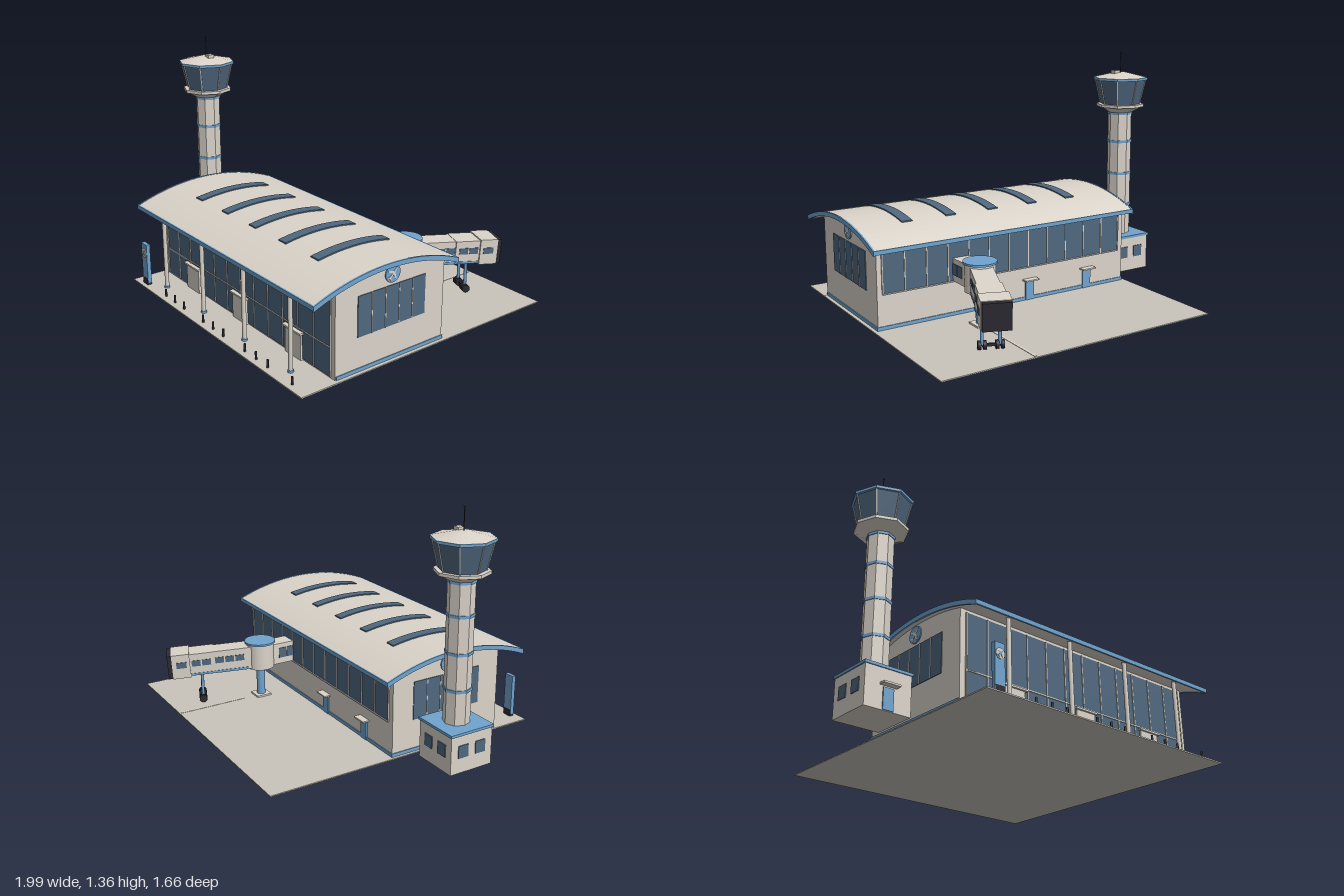
import * as THREE from 'three';
import { toCreasedNormals } from 'three/addons/utils/BufferGeometryUtils.js';

const mat = (name, color, flat = false) => new THREE.MeshStandardMaterial({ name, color, flatShading: flat });

export function createModel() {
  const wall = mat('warm white', 0xdbd4ca);
  const blue = mat('sky blue', 0x70a4cf);
  const glass = mat('blue glass', 0x50687f);
  const dark = mat('charcoal', 0x2b2a31);
  const paving = mat('paving', 0xc9c5bc);
  const model = new THREE.Group();

  const add = (parent, name, geo, m, x = 0, y = 0, z = 0) => {
    const mesh = new THREE.Mesh(geo, m);
    mesh.name = name;
    mesh.position.set(x, y, z);
    parent.add(mesh);
    return mesh;
  };
  const group = (name, x = 0, y = 0, z = 0, parent = model) => {
    const g = new THREE.Group();
    g.name = name;
    g.position.set(x, y, z);
    parent.add(g);
    return g;
  };
  // box given by its limits on each axis
  const box = (parent, name, m, x0, x1, y0, y1, z0, z1) =>
    add(parent, name, new THREE.BoxGeometry(x1 - x0, y1 - y0, z1 - z0), m, (x0 + x1) / 2, (y0 + y1) / 2, (z0 + z1) / 2);
  const cyl = (parent, name, m, rTop, rBottom, y0, y1, x = 0, z = 0, sides = 24) => {
    let geo = new THREE.CylinderGeometry(rTop, rBottom, y1 - y0, sides);
    if (sides === 8) geo = toCreasedNormals(geo, 0.3);
    return add(parent, name, geo, m, x, (y0 + y1) / 2, z);
  };
  // section drawn in (-z, y), extruded along x
  const alongX = (parent, name, m, shape, x0, x1) => {
    const geo = new THREE.ExtrudeGeometry(shape, { depth: x1 - x0, bevelEnabled: false, curveSegments: 28 });
    geo.rotateY(Math.PI / 2);
    return add(parent, name, toCreasedNormals(geo, 0.5), m, x0);
  };

  // roof arc: radius and centre shared by every curved part
  const R = 1.208, CY = -0.668, CZ = 0.3125;
  const angle = (z, r) => Math.acos((CZ - z) / r);
  const band = (name, m, z0, z1, r0, r1, x0, x1, parent) => {
    const s = new THREE.Shape();
    s.absarc(-CZ, CY, r1, angle(z0, r1), angle(z1, r1), false);
    s.absarc(-CZ, CY, r0, angle(z1, r0), angle(z0, r0), true);
    return alongX(parent, name, m, s, x0, x1);
  };

  // round sign with a simple aircraft pictogram, facing +z
  const aircraftSign = (parent, r, discMat, planeMat, x, y, z, yaw) => {
    const g = group('aircraftSign', x, y, z, parent);
    g.rotation.y = yaw;
    const disc = new THREE.CylinderGeometry(r, r, 0.006, 32).rotateX(Math.PI / 2);
    add(g, 'signDisc', disc, discMat);
    const half = [[0, 0.85], [0.1, 0.65], [0.1, 0.25], [0.75, -0.15], [0.75, -0.3], [0.1, -0.1],
      [0.08, -0.5], [0.3, -0.68], [0.3, -0.8], [0, -0.7]];
    const pts = [...half, ...half.slice(1, -1).reverse().map(([a, b]) => [-a, b])];
    const shape = new THREE.Shape(pts.map(([a, b]) => new THREE.Vector2(a * r, b * r)));
    add(g, 'signPlane', new THREE.ExtrudeGeometry(shape, { depth: 0.002, bevelEnabled: false }), planeMat, 0, 0, 0.003)
      .rotation.z = -Math.PI / 4;
  };

  // ground
  box(model, 'apron', paving, -0.665, 0.98, 0, 0.006, -0.82, 0.6);
  box(model, 'plaza', paving, -0.665, 0.98, 0, 0.007, 0.6, 0.83);
  box(model, 'apronGuideLine', wall, 0.452, 0.466, 0.006, 0.008, -0.81, -0.4);

  // terminal hall
  const hall = group('terminal');
  const X0 = -0.645, X1 = 0.955, ZB = -0.085, ZF = 0.615;
  const section = new THREE.Shape();
  section.moveTo(-ZF, 0.003);
  section.lineTo(-ZB, 0.003);
  section.absarc(-CZ, CY, R - 0.015, angle(ZB, R - 0.015), angle(ZF, R - 0.015), false);
  alongX(hall, 'hallBody', wall, section, X0, X1);
  box(hall, 'basePlinth', blue, X0 - 0.005, X1 + 0.005, 0.003, 0.025, ZB - 0.005, ZF - 0.005);

  // curved roof with blue trim
  band('roof', wall, -0.14, 0.765, R - 0.02, R, -0.672, 0.987, hall);
  for (const x of [-0.68, 0.985]) band('gableTrim', blue, -0.145, 0.77, R - 0.023, R + 0.002, x, x + 0.01, hall);
  for (const z of [-0.147, 0.762]) box(hall, 'eaveTrim', blue, -0.68, 0.995, 0.43, 0.453, z, z + 0.01);
  for (let i = 0; i < 5; i++) {
    const x = -0.375 + i * 0.2675;
    band('skylight', glass, 0.08, 0.535, R - 0.002, R + 0.007, x - 0.031, x + 0.031, hall);
  }

  // front and back glazing
  const N = 12, GX0 = -0.61, GX1 = 0.925;
  box(hall, 'frontGlass', glass, GX0, GX1, 0.015, 0.465, ZF, ZF + 0.004);
  box(hall, 'backGlass', glass, GX0, GX1, 0.2, 0.435, ZB - 0.004, ZB);
  for (let i = 0; i <= N; i++) {
    const x = GX0 + (GX1 - GX0) * i / N;
    box(hall, 'frontMullion', wall, x - 0.003, x + 0.003, 0.015, 0.465, ZF, ZF + 0.008);
    box(hall, 'backMullion', wall, x - 0.003, x + 0.003, 0.2, 0.435, ZB - 0.008, ZB);
  }
  box(hall, 'frontTransom', wall, GX0, GX1, 0.167, 0.173, ZF, ZF + 0.008);
  box(hall, 'backSill', wall, GX0, GX1, 0.195, 0.201, ZB - 0.01, ZB);

  // end windows and signs
  for (const side of [-1, 1]) {
    const x = side > 0 ? X1 : X0;
    const plate = (name, m, t, y0, y1, z0, z1) =>
      box(hall, name, m, Math.min(x, x + side * t), Math.max(x, x + side * t), y0, y1, z0, z1);
    plate('endWindow', glass, 0.004, 0.19, 0.405, 0.045, 0.48);
    for (let i = 1; i < 5; i++) plate('endMullion', wall, 0.007, 0.19, 0.405, 0.043 + 0.087 * i, 0.047 + 0.087 * i);
    aircraftSign(hall, 0.047, blue, wall, x + side * 0.003, 0.466, 0.265, side * Math.PI / 2);
  }

  // entrances, service doors
  for (const x of [-0.32, 0.16, 0.64]) {
    box(hall, 'entranceLobby', wall, x - 0.065, x + 0.065, 0.005, 0.15, ZF, ZF + 0.015);
    box(hall, 'entranceCanopy', wall, x - 0.075, x + 0.075, 0.15, 0.16, ZF, ZF + 0.027);
  }
  for (const x of [0.02, -0.38]) {
    box(hall, 'serviceDoor', blue, x - 0.028, x + 0.028, 0.006, 0.11, ZB - 0.008, ZB);
    box(hall, 'serviceCanopy', wall, x - 0.045, x + 0.045, 0.122, 0.13, ZB - 0.04, ZB);
  }

  // front columns, bollards and totem
  for (const x of [-0.445, -0.04, 0.36, 0.76]) {
    cyl(hall, 'column', wall, 0.012, 0.012, 0.007, 0.445, x, 0.73, 16);
    cyl(hall, 'columnFoot', blue, 0.016, 0.016, 0.007, 0.018, x, 0.73, 16);
  }
  for (let i = 0; i < 13; i++) {
    if (i % 4 !== 3) cyl(model, 'bollard', dark, 0.006, 0.006, 0.006, 0.05, -0.34 + i * 0.1, 0.795, 10);
  }
  const totem = group('totem');
  box(totem, 'totemBase', dark, -0.592, -0.538, 0.006, 0.045, 0.779, 0.806);
  box(totem, 'totemPanel', blue, -0.595, -0.535, 0.02, 0.255, 0.781, 0.804);
  aircraftSign(totem, 0.027, wall, blue, -0.565, 0.2, 0.805, 0);

  // control tower, octagonal
  const tower = group('controlTower', -0.83, 0, 0.185);
  box(tower, 'towerBase', wall, -0.132, 0.132, 0, 0.21, -0.132, 0.132);
  box(tower, 'towerBaseRoof', blue, -0.138, 0.138, 0.21, 0.225, -0.138, 0.138);
  box(tower, 'towerDoor', blue, -0.03, 0.03, 0.003, 0.115, 0.13, 0.138);
  box(tower, 'towerCanopy', wall, -0.048, 0.048, 0.123, 0.133, 0.13, 0.17);
  for (let k = 1; k < 4; k++) {
    const face = group('towerBaseWindows', 0, 0, 0, tower);
    face.rotation.y = k * Math.PI / 2;
    for (const x of [-0.055, 0.055]) box(face, 'baseWindow', glass, x - 0.032, x + 0.032, 0.085, 0.155, 0.13, 0.136);
  }
  cyl(tower, 'shaft', wall, 0.072, 0.072, 0.22, 1.0, 0, 0, 8);
  for (const y of [0.41, 0.61, 0.81, 0.985]) cyl(tower, 'shaftRing', blue, 0.076, 0.076, y - 0.008, y + 0.008, 0, 0, 8);
  cyl(tower, 'cabFlare', wall, 0.135, 0.074, 0.99, 1.025, 0, 0, 8);
  cyl(tower, 'cabDeck', wall, 0.145, 0.145, 1.025, 1.042, 0, 0, 8);
  cyl(tower, 'cabGlass', glass, 0.155, 0.12, 1.042, 1.192, 0, 0, 8);
  cyl(tower, 'cabRoofTrim', blue, 0.167, 0.167, 1.19, 1.205, 0, 0, 8);
  cyl(tower, 'cabRoof', wall, 0.035, 0.163, 1.205, 1.235, 0, 0, 8);
  for (let i = 0; i < 8; i++) {
    const arm = group('cabMullion', 0, 0, 0, tower);
    arm.rotation.y = i * Math.PI / 4;
    add(arm, 'mullionBar', new THREE.BoxGeometry(0.006, 0.154, 0.006), wall, 0, 1.117, 0.138)
      .rotation.x = Math.atan2(0.035, 0.15);
  }
  box(tower, 'roofUnit', wall, 0.02, 0.058, 1.215, 1.248, -0.018, 0.02);
  cyl(tower, 'antenna', dark, 0.0025, 0.0025, 1.23, 1.355, 0, 0, 8);
  add(tower, 'antennaTip', new THREE.SphereGeometry(0.006, 12, 8), dark, 0, 1.355, 0);

  // boarding bridge: rotunda and link to the hall
  const bridge = group('boardingBridge', 0.46, 0, -0.286);
  box(bridge, 'rotundaFoot', wall, -0.045, 0.045, 0.006, 0.016, -0.045, 0.045);
  cyl(bridge, 'rotundaPost', blue, 0.025, 0.025, 0.016, 0.195);
  cyl(bridge, 'rotunda', wall, 0.083, 0.083, 0.192, 0.345, 0, 0, 32);
  cyl(bridge, 'rotundaCap', blue, 0.092, 0.092, 0.345, 0.356, 0, 0, 32);
  box(bridge, 'hallLink', wall, -0.052, 0.052, 0.2, 0.328, 0.03, 0.202);
  for (const s of [-1, 1]) for (const z of [0.1, 0.152])
    box(bridge, 'linkWindow', glass, s * 0.053 - 0.003, s * 0.053 + 0.003, 0.238, 0.3, z, z + 0.046);

  // telescoping tunnel, local +z runs away from the rotunda
  const yaw = Math.atan2(0.375, -0.927);
  const tunnel = group('tunnel', 0, 0.27, 0, bridge);
  tunnel.rotation.set(0.06, yaw, 0, 'YXZ');
  box(tunnel, 'innerTunnel', wall, -0.06, 0.06, -0.066, 0.068, 0.04, 0.285);
  box(tunnel, 'outerTunnel', wall, -0.068, 0.068, -0.062, 0.07, 0.275, 0.425);
  box(tunnel, 'dockingCab', wall, -0.077, 0.077, -0.07, 0.077, 0.42, 0.525);
  box(tunnel, 'dockingHood', dark, -0.072, 0.072, -0.068, 0.074, 0.515, 0.55);
  for (const s of [-1, 1]) {
    const pane = (x, z0, z1) => box(tunnel, 'tunnelWindow', glass, s * x - 0.003, s * x + 0.003, -0.006, 0.03, z0, z1);
    for (const z of [0.1, 0.16, 0.22]) pane(0.06, z, z + 0.052);
    for (const z of [0.297, 0.358]) pane(0.068, z, z + 0.052);
    pane(0.077, 0.44, 0.5);
    box(tunnel, 'innerStripe', blue, s * 0.06 - 0.003, s * 0.06 + 0.003, -0.067, -0.052, 0.08, 0.275);
    box(tunnel, 'outerStripe', blue, s * 0.068 - 0.003, s * 0.068 + 0.003, -0.063, -0.05, 0.277, 0.42);
  }

  // wheeled legs under the tunnel
  const legs = group('bridgeLegs', 0, 0, 0, bridge);
  legs.rotation.y = yaw;
  for (const x of [-0.045, 0.045]) {
    cyl(legs, 'leg', blue, 0.009, 0.009, 0.03, 0.2, x, 0.35, 12);
    for (const dx of [-0.014, 0.014])
      add(legs, 'wheel', new THREE.CylinderGeometry(0.023, 0.023, 0.016, 20).rotateZ(Math.PI / 2), dark, x + dx, 0.029, 0.35);
  }
  box(legs, 'axle', dark, -0.045, 0.045, 0.022, 0.036, 0.343, 0.357);

  return model;
}
